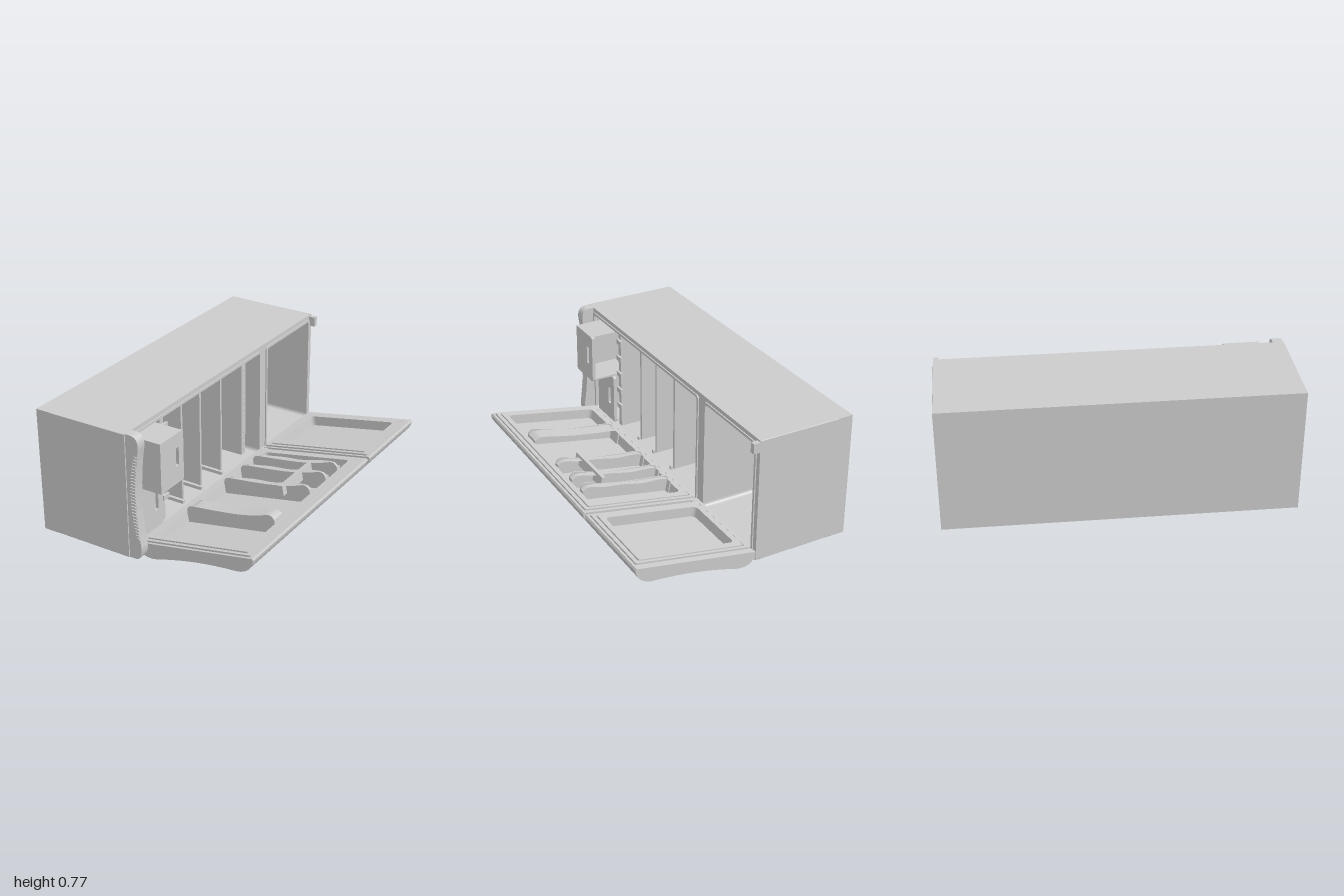
import * as THREE from 'three';

const mat = new THREE.MeshStandardMaterial({ color: 0xcccccc, side: THREE.DoubleSide });

function add(parent, name, geo, x = 0, y = 0, z = 0) {
  const m = new THREE.Mesh(geo, mat);
  m.name = name;
  m.position.set(x, y, z);
  parent.add(m);
  return m;
}

// Box given by its min and max on each axis
function box(parent, name, x0, x1, y0, y1, z0, z1) {
  return add(parent, name, new THREE.BoxGeometry(x1 - x0, y1 - y0, z1 - z0),
    (x0 + x1) / 2, (y0 + y1) / 2, (z0 + z1) / 2);
}

// Rounded rectangle path
function roundRect(a0, a1, b0, b1, r, T = THREE.Shape) {
  const p = new T();
  p.moveTo(a0 + r, b0);
  p.lineTo(a1 - r, b0); p.quadraticCurveTo(a1, b0, a1, b0 + r);
  p.lineTo(a1, b1 - r); p.quadraticCurveTo(a1, b1, a1 - r, b1);
  p.lineTo(a0 + r, b1); p.quadraticCurveTo(a0, b1, a0, b1 - r);
  p.lineTo(a0, b0 + r); p.quadraticCurveTo(a0, b0, a0 + r, b0);
  return p;
}

const extrude = (shape, depth) =>
  new THREE.ExtrudeGeometry(shape, { depth, bevelEnabled: false, curveSegments: 8 });
// Shape drawn as (-z, y), extruded along +x
const extrudeX = (shape, depth) => extrude(shape, depth).rotateY(Math.PI / 2);
// Shape drawn as (x, -z), extruded along +y
const extrudeY = (shape, depth) => extrude(shape, depth).rotateX(-Math.PI / 2);

function buildCabinet(root) {
  const g = new THREE.Group();
  g.name = 'cabinet';
  root.add(g);
  // Walls with the two compartments cut out, and the back
  const face = roundRect(-1, 1, 0.023, 0.77, 0.004);
  face.holes.push(roundRect(-0.92, 0.36, 0.065, 0.73, 0.025, THREE.Path));
  face.holes.push(roundRect(0.45, 0.96, 0.065, 0.73, 0.025, THREE.Path));
  add(g, 'cabinetWalls', extrudeX(face, 0.495), -0.57);
  box(g, 'cabinetBack', -0.66, -0.569, 0.023, 0.77, -1, 1);

  // Raised lips round the openings
  for (const [a0, a1] of [[-0.93, 0.375], [0.435, 0.97]]) {
    const lip = roundRect(a0, a1, 0.05, 0.745, 0.025);
    lip.holes.push(roundRect(a0 + 0.015, a1 - 0.015, 0.065, 0.73, 0.02, THREE.Path));
    add(g, 'openingLip', extrudeX(lip, 0.008), -0.076);
  }

  // Kick panel with a hollow front and ventilation ribs
  const k = new THREE.Shape();
  k.moveTo(-0.08, 0.023);
  k.lineTo(-0.03, 0.023);
  k.quadraticCurveTo(0.005, 0.03, 0.005, 0.1);
  k.quadraticCurveTo(-0.045, 0.4, 0.005, 0.7);
  k.quadraticCurveTo(0.01, 0.77, -0.05, 0.77);
  k.lineTo(-0.08, 0.77);
  add(g, 'kickPanel', extrude(k, 0.06), 0, 0, 0.933);
  for (let i = 0; i < 27; i++) {
    const y = 0.15 + i * 0.019;
    const t = 1 - ((y - 0.4) / 0.3) ** 2;
    box(g, 'kickRib', -0.006 - 0.046 * t, 0.002 - 0.021 * t, y, y + 0.01, 0.985, 1);
  }
  // Hinges at the top, between the doors and at the bottom
  for (const z of [-0.985, -0.398, 0.926]) {
    box(g, 'hingePlate', -0.08, -0.03, 0.03, 0.08, z - 0.01, z + 0.01);
  }
  box(g, 'topHingeCover', -0.08, -0.035, 0.7, 0.76, -1, -0.97);
}

function buildInterior(root) {
  const g = new THREE.Group();
  g.name = 'interior';
  root.add(g);
  // Glass shelves with side rails
  for (const z of [0.4, 0.21, -0.01]) {
    box(g, 'shelf', -0.52, -0.13, 0.075, 0.72, z - 0.004, z + 0.004);
    box(g, 'shelfTrim', -0.14, -0.125, 0.075, 0.72, z - 0.008, z + 0.008);
    for (const y of [0.065, 0.71]) box(g, 'shelfRail', -0.5, -0.11, y, y + 0.02, z + 0.004, z + 0.024);
  }
  box(g, 'drawerCover', -0.55, -0.1, 0.07, 0.725, 0.615, 0.645);
  for (let i = 0; i < 5; i++) box(g, 'coverClip', -0.1, -0.085, 0.2 + i * 0.11, 0.23 + i * 0.11, 0.59, 0.645);

  // Meat tray panel and its perforated front
  box(g, 'trayPanel', -0.52, -0.14, 0.075, 0.725, -0.265, -0.255);
  box(g, 'trayFront', -0.145, -0.135, 0.075, 0.73, -0.3, -0.255);
  for (let i = 0; i < 16; i++) {
    add(g, 'trayHole', new THREE.CylinderGeometry(0.006, 0.006, 0.004, 10).rotateZ(Math.PI / 2),
      -0.134, 0.11 + i * 0.038, -0.278);
  }

  // Air duct and control box on the back wall
  box(g, 'airDuct', -0.57, -0.53, 0.26, 0.54, -0.13, 0.36);
  for (const z of [0.28, 0.12, -0.05]) for (const y of [0.3, 0.5]) for (let i = -1; i < 2; i++) {
    add(g, 'ductVent', extrudeX(roundRect(-0.009, 0.009, -0.028, 0.028, 0.008), 0.006), -0.532, y, z + i * 0.026);
  }
  box(g, 'controlBox', -0.57, -0.48, 0.26, 0.53, -0.355, -0.14);
  for (const y of [0.34, 0.455]) {
    add(g, 'controlKnob', new THREE.CylinderGeometry(0.024, 0.028, 0.03, 24).rotateZ(-Math.PI / 2), -0.465, y, -0.23);
  }
  for (let i = 0; i < 8; i++) box(g, 'controlVent', -0.48, -0.472, 0.32 + i * 0.02, 0.33 + i * 0.02, -0.175, -0.155);

  // Freezer vents
  for (const z of [-0.55, -0.835, -0.86]) for (const y of [0.22, 0.4, 0.59]) {
    add(g, 'freezerVent', extrudeX(roundRect(-0.009, 0.009, -0.06, 0.06, 0.008), 0.006), -0.57, y, z);
  }

  // Two open drawers, the upper one pulled out
  for (const [y0, y1, front] of [[0.075, 0.39, -0.075], [0.4, 0.7, 0.07]]) {
    const d = new THREE.Group();
    d.name = 'drawer';
    g.add(d);
    const back = front - 0.44, t = 0.01;
    box(d, 'drawerFloor', back, front, y0, y1, 0.875, 0.885);
    box(d, 'drawerBack', back, back + t, y0, y1, 0.68, 0.885);
    for (const y of [y0, y1 - t]) box(d, 'drawerSide', back, front, y, y + t, 0.68, 0.885);
    const f = roundRect(-0.885, -0.67, y0, y1, 0.012);
    const m = y0 + (y1 - y0) * 0.53;
    f.holes.push(roundRect(-0.745, -0.715, m - 0.055, m + 0.055, 0.004, THREE.Path));
    add(d, 'drawerFront', extrudeX(f, 0.02), front - 0.02);
    box(d, 'drawerGrip', front - 0.03, front - 0.018, m - 0.06, m + 0.06, 0.71, 0.75);
  }
}

// Door cross-section: hollow outer face below, optional recess on the inside
function doorSection(recess) {
  const s = new THREE.Shape();
  s.moveTo(-0.076, 0);
  s.lineTo(-0.076, -0.035);
  s.quadraticCurveTo(-0.06, -0.09, 0.02, -0.092);
  s.bezierCurveTo(0.2, -0.07, 0.36, -0.064, 0.56, -0.087);
  s.bezierCurveTo(0.615, -0.088, 0.655, -0.06, 0.67, -0.012);
  s.lineTo(0.665, 0);
  if (recess) {
    s.lineTo(0.62, 0); s.lineTo(0.62, -0.045);
    s.lineTo(-0.03, -0.045); s.lineTo(-0.03, 0);
  }
  return s;
}

function buildDoor(root, name, z0, z1, edge) {
  const g = new THREE.Group();
  g.name = name;
  g.position.y = 0.092;
  g.rotation.z = 0.18;
  root.add(g);
  // Solid ends and a recessed middle
  add(g, 'doorEnd', extrude(doorSection(false), edge), 0, 0, z0);
  add(g, 'doorMiddle', extrude(doorSection(true), z1 - z0 - edge - 0.04), 0, 0, z0 + edge);
  add(g, 'doorEnd', extrude(doorSection(false), 0.04), 0, 0, z1 - 0.04);
  // Gasket and inner liner
  const a = z0 + edge - 0.02, b = z1 - 0.015;
  const gasket = roundRect(-0.065, 0.65, -b, -a, 0.01);
  gasket.holes.push(roundRect(-0.04, 0.625, -b + 0.02, -a - 0.02, 0.01, THREE.Path));
  add(g, 'gasket', extrudeY(gasket, 0.012), 0, -0.002);
  const liner = roundRect(-0.032, 0.622, -z1 + 0.038, -z0 - edge + 0.002, 0.015);
  liner.holes.push(roundRect(0.005, 0.59, -z1 + 0.08, -z0 - edge - 0.04, 0.03, THREE.Path));
  add(g, 'liner', extrudeY(liner, 0.063), 0, -0.047);
  return g;
}

// Door bin: floor plate standing off the door and a wavy front wall
function bin(door, z0, z1, wave) {
  const floor = new THREE.Shape();
  floor.moveTo(0.01, -0.045);
  floor.lineTo(0.585, -0.045);
  floor.lineTo(0.585, 0.035);
  floor.quadraticCurveTo(0.575, 0.065, 0.545, 0.062);
  floor.bezierCurveTo(0.4, 0.03, 0.25, 0.045, 0.05, 0.056);
  floor.quadraticCurveTo(0.015, 0.055, 0.01, 0.03);
  add(door, 'binFloor', extrude(floor, 0.008), 0, 0, z1 - 0.008);
  const n = 24, pos = [], idx = [];
  for (let i = 0; i <= n; i++) {
    const t = i / n, u = 0.012 + 0.57 * t;
    const v = 0.056 - 0.055 * t * (1 - t) - 0.03 * Math.abs(2 * t - 1) ** 16;
    pos.push(u, v, z0 + wave * Math.sin(t * 14), u, v, z1);
    if (i < n) idx.push(2 * i, 2 * i + 1, 2 * i + 2, 2 * i + 1, 2 * i + 3, 2 * i + 2);
  }
  const geo = new THREE.BufferGeometry();
  geo.setAttribute('position', new THREE.Float32BufferAttribute(pos, 3));
  geo.setIndex(idx);
  geo.computeVertexNormals();
  add(door, 'binFront', geo);
  for (const u of [0.008, 0.578]) box(door, 'binSide', u, u + 0.008, -0.045, 0.03, z0, z1);
}

export function createModel() {
  const root = new THREE.Group();
  root.name = 'refrigerator';
  buildCabinet(root);
  buildInterior(root);
  buildDoor(root, 'freezerDoor', -0.998, -0.41, 0.06);
  const door = buildDoor(root, 'fridgeDoor', -0.388, 0.92, 0.04);
  bin(door, -0.205, -0.165, 0.006);
  bin(door, -0.065, -0.025, 0.006);
  bin(door, 0.12, 0.16, 0.006);
  bin(door, 0.45, 0.55, 0);
  // Bottle divider across the bins
  box(door, 'bottleDivider', 0.41, 0.435, 0.0, 0.062, -0.135, 0.2);
  // Lens-shaped hand grip where the doors meet
  const grip = add(root, 'handGrip', new THREE.SphereGeometry(1, 32, 16), 0.32, 0.085, -0.375);
  grip.scale.set(0.25, 0.014, 0.04);
  grip.rotation.z = 0.18;
  return root;
}
